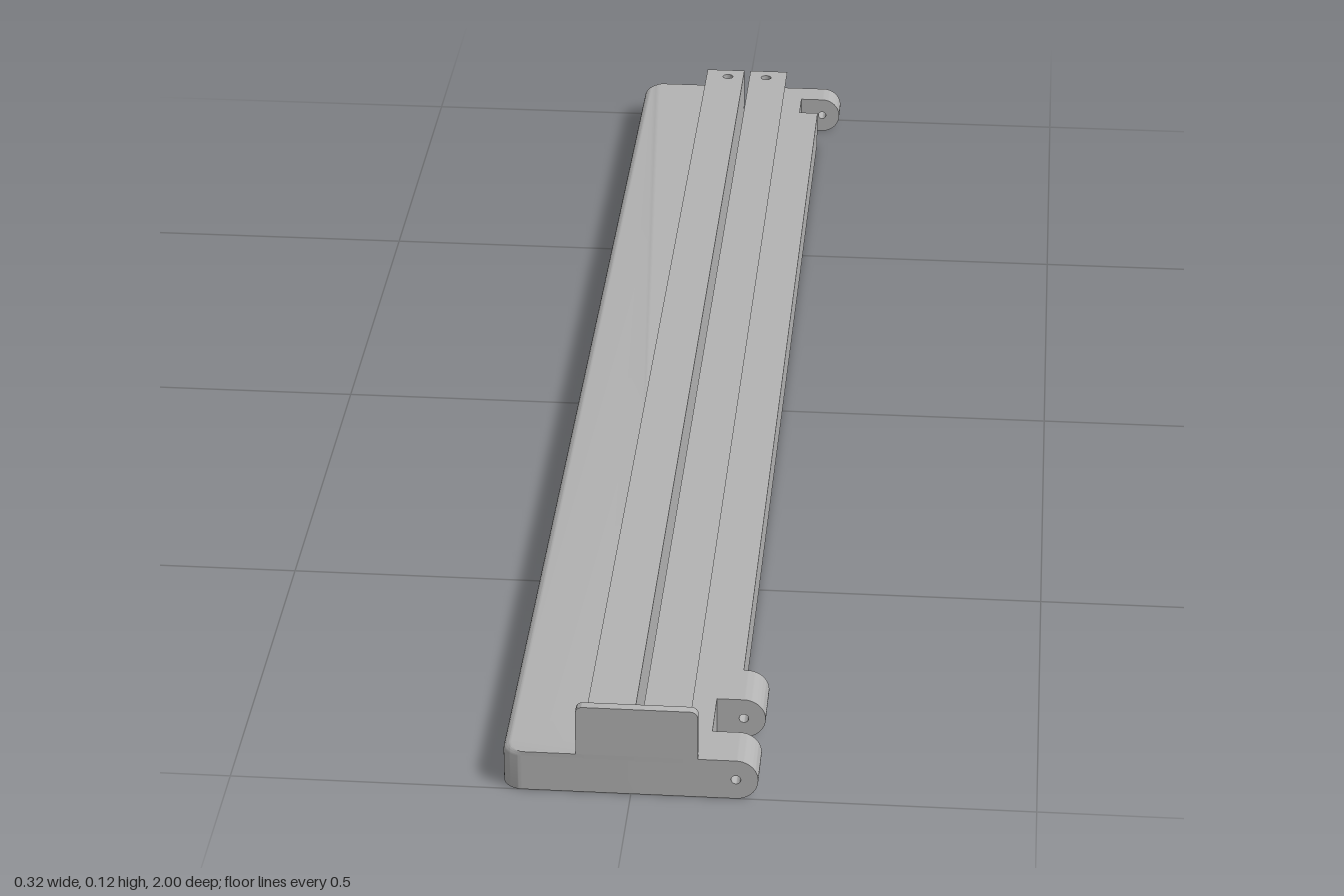
import * as THREE from 'three';
import { toCreasedNormals } from 'three/addons/utils/BufferGeometryUtils.js';

const BASE_H = 0.055, RAIL_H = 0.028;
const LEFT = -0.16, CORNER = 0.025, FILLET = 0.01;
const SLIT = [0, 0.01], SLIT_END = 0.97;

function circleHole(x, y, r) {
  return new THREE.Path().absarc(x, y, r, 0, Math.PI * 2, true);
}

// Plan outline in x, -z, pulled up along y
function extrudePlan(shape, depth, steps = 1) {
  const g = new THREE.ExtrudeGeometry(shape, { depth, steps, bevelEnabled: false, curveSegments: 10 });
  return g.rotateX(-Math.PI / 2);
}

function moveVertices(geometry, rule) {
  const p = geometry.attributes.position, v = new THREE.Vector3();
  for (let i = 0; i < p.count; i++) {
    rule(v.fromBufferAttribute(p, i));
    p.setXYZ(i, v.x, v.y, v.z);
  }
  return geometry;
}

// Base plate: hinge notches on one side, open slit from the back, filleted long edge
function baseGeometry() {
  const s = new THREE.Shape();
  const cx = LEFT + CORNER, cz = 1 - CORNER;
  s.moveTo(cx, -1);
  for (const [x, z] of [[0.096, 1], [0.096, 0.79], [0.125, 0.79], [0.125, -0.905], [0.096, -0.905],
    [0.096, -1], [SLIT[1], -1], [SLIT[1], SLIT_END], [SLIT[0], SLIT_END], [SLIT[0], -1], [cx, -1]]) s.lineTo(x, -z);
  s.absarc(cx, cz, CORNER, Math.PI / 2, Math.PI, false);
  s.absarc(cx, -cz, CORNER, Math.PI, Math.PI * 1.5, false);
  for (const x of [-0.045, 0.033]) s.holes.push(circleHole(x, -0.86, 0.006));

  const steps = 6;
  return moveVertices(extrudePlan(s, steps, steps), (v) => {
    const k = Math.round(v.y);
    const a = (Math.max(k - 1, 0) / (steps - 1)) * Math.PI / 2;
    v.y = k === 0 ? 0 : BASE_H - FILLET + FILLET * Math.sin(a);
    const dx = v.x - cx, dz = Math.sign(v.z) * Math.max(Math.abs(v.z) - cz, 0);
    if (dx < -1e-5) {
      const len = Math.hypot(dx, dz);
      const inset = FILLET * (1 - Math.cos(a)) * (-dx / len);
      v.x -= dx / len * inset;
      v.z -= dz / len * inset;
    }
  });
}

// Half of the dovetail rail: outer wall leans inward towards the base
function railGeometry(inner, outer, holeX) {
  const s = new THREE.Shape();
  const lo = Math.min(inner, outer), hi = Math.max(inner, outer), front = -0.988;
  s.moveTo(lo, front).lineTo(hi, front).lineTo(hi, 1).lineTo(lo, 1).closePath();
  s.holes.push(circleHole(holeX, 0.975, 0.008));
  return moveVertices(extrudePlan(s, RAIL_H), (v) => {
    if (Math.abs(v.x - outer) < 1e-5 && v.y < RAIL_H / 2) v.x -= Math.sign(outer) * 0.024;
  });
}

// Hinge knuckle: tongue with a round end and a pin hole
function knuckleGeometry(depth) {
  const r = BASE_H / 2, s = new THREE.Shape();
  s.moveTo(0.096, 0).lineTo(0.13, 0);
  s.absarc(0.13, r, r, -Math.PI / 2, Math.PI / 2, false);
  s.lineTo(0.096, BASE_H).closePath();
  s.holes.push(circleHole(0.13, r, 0.006));
  return new THREE.ExtrudeGeometry(s, { depth, bevelEnabled: false, curveSegments: 20 });
}

// End stop: thin upright plate with rounded top corners
function stopGeometry() {
  const x0 = -0.068, x1 = 0.083, top = 0.123, r = 0.009, s = new THREE.Shape();
  s.moveTo(x0, BASE_H).lineTo(x1, BASE_H);
  s.absarc(x1 - r, top - r, r, 0, Math.PI / 2, false);
  s.absarc(x0 + r, top - r, r, Math.PI / 2, Math.PI, false);
  s.closePath();
  return new THREE.ExtrudeGeometry(s, { depth: 0.012, bevelEnabled: false, curveSegments: 8 });
}

export function createModel() {
  const group = new THREE.Group();
  const grey = new THREE.MeshStandardMaterial({ color: 0xb3b3b3 });
  grey.name = 'grey';

  function add(name, geometry, y = 0, z = 0) {
    const mesh = new THREE.Mesh(toCreasedNormals(geometry, 0.6), grey);
    mesh.name = name;
    mesh.position.set(0, y, z);
    group.add(mesh);
  }

  add('basePlate', baseGeometry());
  add('rightRail', railGeometry(SLIT[0], -0.06, -0.025), BASE_H);
  add('leftRail', railGeometry(SLIT[1], 0.07, 0.037), BASE_H);
  add('endStop', stopGeometry(), 0, 0.988);

  // Hinge knuckles along the side
  for (const [name, z0, z1] of [['frontKnuckle', 0.935, 1], ['innerKnuckle', 0.79, 0.86], ['backKnuckle', -1, -0.957]]) {
    add(name, knuckleGeometry(z1 - z0), 0, z0);
  }
  return group;
}
